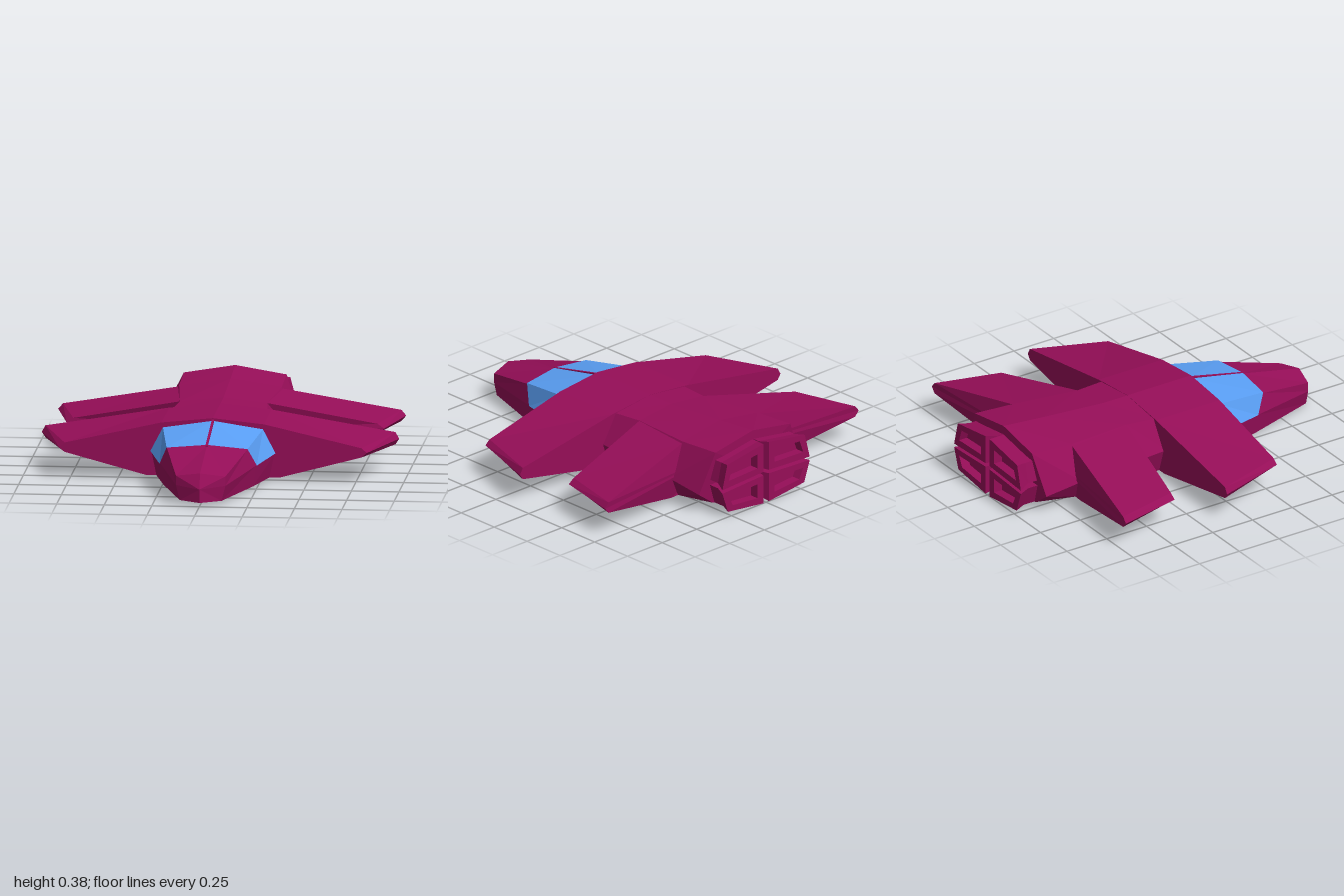
import * as THREE from 'three';

const hullMat = new THREE.MeshStandardMaterial({ color: 0x960e58, flatShading: true });
const glassMat = new THREE.MeshStandardMaterial({ color: 0x5a9ff5, flatShading: true, side: THREE.DoubleSide });

function meshFrom(name, tris, mat) {
  const g = new THREE.BufferGeometry();
  g.setAttribute('position', new THREE.Float32BufferAttribute(tris.flat(2), 3));
  g.computeVertexNormals();
  const m = new THREE.Mesh(g, mat);
  m.name = name;
  return m;
}

// Skin closed rings (counter-clockwise seen from the front), ordered front to back, with both ends capped
function loft(name, rings) {
  const tris = [], n = rings[0].length;
  for (let r = 0; r < rings.length - 1; r++) {
    for (let i = 0; i < n; i++) {
      const j = (i + 1) % n;
      const a = rings[r][i], b = rings[r][j], c = rings[r + 1][j], d = rings[r + 1][i];
      if (a[0] + b[0] >= 0) tris.push([a, d, c], [a, c, b]);
      else tris.push([a, d, b], [b, d, c]);
    }
  }
  const cap = (ring, front) => {
    const mid = [0, 1].map(k => ring.reduce((s, p) => s + p[k], 0) / n).concat(ring[0][2]);
    ring.forEach((p, i) => {
      const q = ring[(i + 1) % n];
      tris.push(front ? [mid, p, q] : [mid, q, p]);
    });
  };
  cap(rings[0], true);
  cap(rings[rings.length - 1], false);
  return meshFrom(name, tris, hullMat);
}

const flip = ([x, y, z]) => [-x, y, z];
// Half outline from bottom centre to top centre, completed by mirroring; z is a default depth
function section(z, half) {
  const h = half.map(p => [p[0], p[1], p[2] ?? z]);
  return [...h, ...h.slice(1, -1).reverse().map(flip)];
}

// Engine nozzle: flared four-sided block with a slot sunk into its back
function nozzle(name, front, back, side) {
  const c = [0, 1].map(k => back.reduce((s, p) => s + p[k], 0) / 4);
  const inset = z => back.map(p => [c[0] + (p[0] - c[0]) * 0.7, c[1] + (p[1] - c[1]) * 0.5, z]);
  let rings = [
    front.map(p => [...p, -0.84]),
    front.map(p => [...p, -0.94]),
    back.map(p => [...p, -1]),
    inset(-1),
    inset(-0.95),
  ];
  if (side < 0) rings = rings.map(r => r.map(flip).reverse());
  return loft(name, rings);
}

export function createModel() {
  const model = new THREE.Group();
  model.name = 'spacecraft';

  // Nose, widening back to the front wing
  model.add(loft('nose', [
    section(0.93, [[0, 0.02, 1], [0.11, 0.02], [0.13, 0.1], [0.13, 0.15], [0, 0.17, 0.96]]),
    section(0.59, [[0, 0.02], [0.235, 0.02, 0.53], [0.25, 0.13, 0.53], [0.21, 0.225], [0, 0.245, 0.6]]),
    section(0.27, [[0, 0.02], [0.3, 0.02], [0.325, 0.145], [0.26, 0.27], [0, 0.31]]),
  ]));

  // Front wing, one full-span slab
  model.add(loft('frontWing', [
    section(0.28, [[0, 0.02], [0.35, 0.02], [0.78, 0.135], [0.81, 0.16], [0.78, 0.185], [0.27, 0.302], [0, 0.33]]),
    section(-0.12, [[0, 0.02], [0.35, 0.02], [0.92, 0.13], [0.94, 0.16], [0.92, 0.195], [0.27, 0.302], [0, 0.33]]),
  ]));

  // Main fuselage, rising towards the tail
  model.add(loft('fuselage', [
    section(-0.1, [[0, 0.02], [0.3, 0.02], [0.34, 0.15], [0.25, 0.3], [0, 0.329]]),
    section(-0.28, [[0, 0.02], [0.3, 0.02], [0.34, 0.14], [0.23, 0.305], [0, 0.33]]),
    section(-0.65, [[0, 0.02], [0.3, 0.02], [0.37, 0.14], [0.27, 0.318], [0, 0.358]]),
    section(-0.9, [[0, 0.03], [0.26, 0.035, -0.87], [0.36, 0.11, -0.87], [0.27, 0.335], [0, 0.38]]),
  ]));

  // Rear wing, swept back
  model.add(loft('rearWing', [
    section(-0.38, [[0, 0.025, -0.29], [0.35, 0.02, -0.28], [0.8, 0.135], [0.835, 0.16], [0.8, 0.185],
      [0.23, 0.304, -0.28], [0, 0.32, -0.29]]),
    section(-0.74, [[0, 0.025, -0.64], [0.35, 0.02, -0.65], [0.89, 0.13], [0.915, 0.16], [0.89, 0.19],
      [0.27, 0.31, -0.65], [0, 0.34, -0.64]]),
  ]));

  // Canopy panes on both sides of a thin centre rib
  const panes = [
    [[0.007, 0.315, 0.28], [0.263, 0.276, 0.28], [0.213, 0.231, 0.592], [0.007, 0.251, 0.602]],
    [[0.263, 0.276, 0.28], [0.329, 0.149, 0.28], [0.256, 0.132, 0.532], [0.213, 0.231, 0.592]],
  ];
  for (const side of [1, -1]) {
    const tris = panes.flatMap(p => {
      const [a, b, c, d] = side > 0 ? p : p.map(flip);
      return side > 0 ? [[a, c, b], [a, d, c]] : [[a, b, c], [a, c, d]];
    });
    model.add(meshFrom(side > 0 ? 'leftCanopy' : 'rightCanopy', tris, glassMat));
  }
  model.add(loft('canopyRib', [
    section(0.61, [[0, 0.22], [0.006, 0.22], [0.006, 0.25], [0, 0.25]]),
    section(0.27, [[0, 0.28], [0.006, 0.28], [0.006, 0.325], [0, 0.325]]),
  ]));

  // Four nozzles, two above and two below
  for (const side of [1, -1]) {
    const s = side > 0 ? 'left' : 'right';
    model.add(nozzle(s + 'UpperNozzle',
      [[0.003, 0.18], [0.29, 0.18], [0.265, 0.29], [0.003, 0.33]],
      [[0.02, 0.18], [0.315, 0.165], [0.28, 0.3], [0.02, 0.34]], side));
    model.add(nozzle(s + 'LowerNozzle',
      [[0.003, 0.02], [0.25, 0.035], [0.29, 0.15], [0.003, 0.16]],
      [[0.02, 0], [0.275, 0.03], [0.315, 0.145], [0.02, 0.16]], side));
  }
  return model;
}
